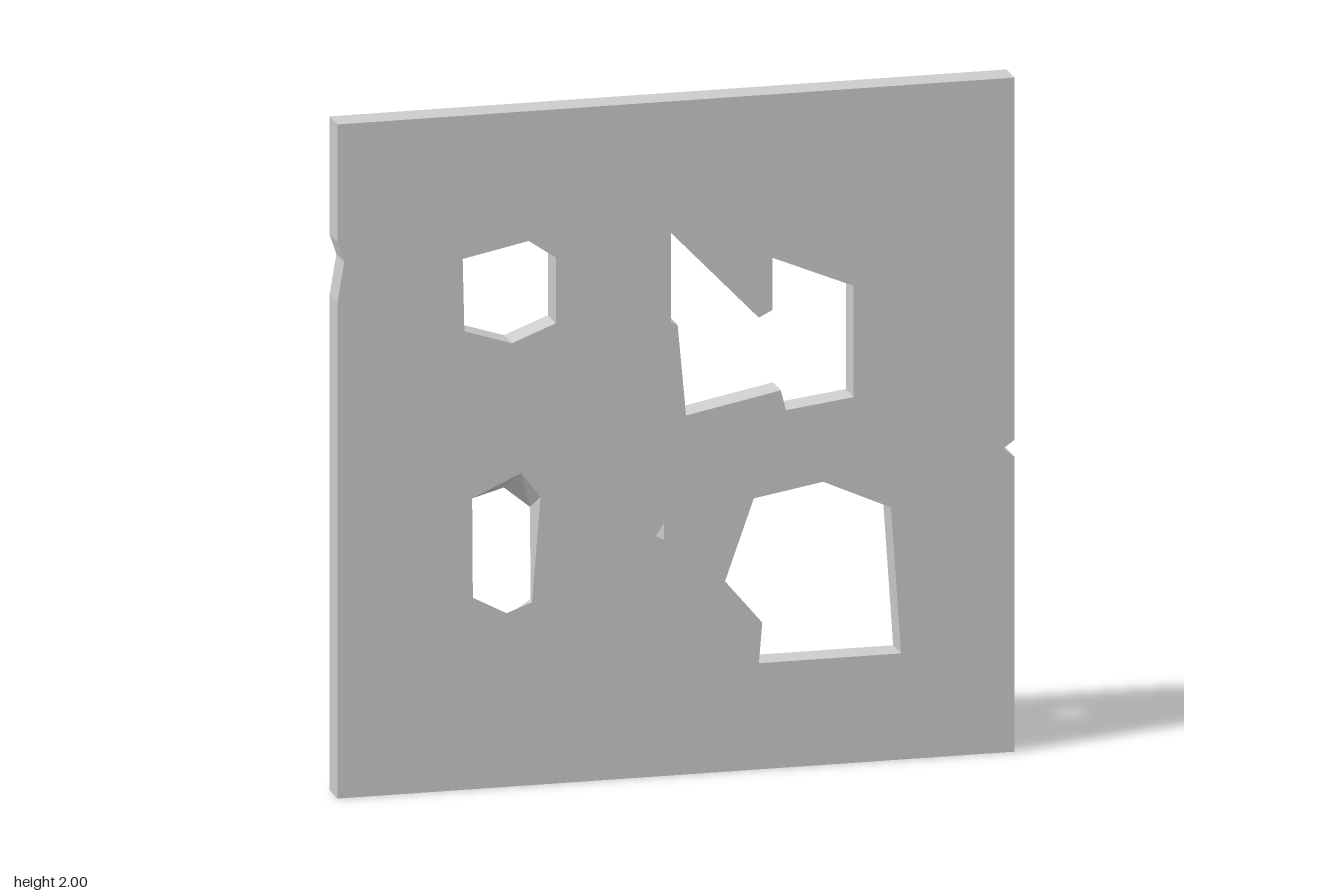
import * as THREE from 'three';

const HALF = 0.045; // half the slab thickness

// Slab edge, counter-clockwise, with a small notch in each side
const edge = [[-1, 0], [1, 0], [1, 0.875], [0.965, 0.9], [1, 0.925], [1, 2],
  [-1, 2], [-1, 1.65], [-0.98, 1.59], [-1, 1.47]];

// Openings, clockwise; "back" is given only where the cut runs at a slant
const openings = [
  { name: 'upperLeftOpening', front: [[-0.63, 1.575], [-0.435, 1.615], [-0.355, 1.56],
    [-0.355, 1.365], [-0.485, 1.315], [-0.625, 1.36]] },
  { name: 'upperRightOpening', front: [[-0.015, 1.61], [0.245, 1.34], [0.285, 1.36],
    [0.285, 1.515], [0.525, 1.415], [0.525, 1.085], [0.325, 1.06], [0.31, 1.12],
    [0.03, 1.065], [0.005, 1.335], [-0.015, 1.345]] },
  { name: 'lowerRightOpening', front: [[0.23, 0.805], [0.435, 0.84], [0.635, 0.75],
    [0.665, 0.315], [0.245, 0.315], [0.255, 0.435], [0.145, 0.565]] },
  { name: 'smallOpening', front: [[-0.035, 0.75], [-0.035, 0.7], [-0.06, 0.713]] },
  { name: 'slantedOpening',
    front: [[-0.602, 0.863], [-0.457, 0.928], [-0.4, 0.853], [-0.425, 0.543],
      [-0.5, 0.515], [-0.6, 0.568]],
    back: [[-0.59, 0.837], [-0.485, 0.863], [-0.408, 0.8], [-0.406, 0.527],
      [-0.511, 0.46], [-0.6, 0.546]] },
];

const toPoints = (list) => list.map(([x, y]) => new THREE.Vector2(x, y));

// Flat face with the openings cut out
function faceGeometry(side) {
  const shape = new THREE.Shape(toPoints(edge));
  for (const o of openings) shape.holes.push(new THREE.Path(toPoints(o[side] ?? o.front)));
  return new THREE.ShapeGeometry(shape);
}

// Wall joining a front outline to a back outline
function wallGeometry(front, back = front) {
  const pos = [];
  front.forEach((f, i) => {
    const j = (i + 1) % front.length;
    const a = [...f, HALF], b = [...back[i], -HALF];
    const c = [...back[j], -HALF], d = [...front[j], HALF];
    pos.push(...a, ...b, ...c, ...a, ...c, ...d);
  });
  const g = new THREE.BufferGeometry();
  g.setAttribute('position', new THREE.Float32BufferAttribute(pos, 3));
  g.computeVertexNormals();
  return g;
}

export function createModel() {
  const slab = new THREE.Group();
  slab.name = 'slab';
  const material = new THREE.MeshStandardMaterial({ color: 0xcccccc, flatShading: true });
  const add = (name, geometry) => {
    const mesh = new THREE.Mesh(geometry, material);
    mesh.name = name;
    slab.add(mesh);
  };

  // Front and back faces
  add('frontFace', faceGeometry('front').translate(0, 0, HALF));
  const back = faceGeometry('back').translate(0, 0, -HALF);
  const index = back.index.array;
  for (let i = 0; i < index.length; i += 3) [index[i], index[i + 1]] = [index[i + 1], index[i]];
  back.computeVertexNormals();
  add('backFace', back);

  // Outer rim and the walls of each opening
  add('rim', wallGeometry(edge));
  for (const o of openings) add(o.name, wallGeometry(o.front, o.back));
  return slab;
}
